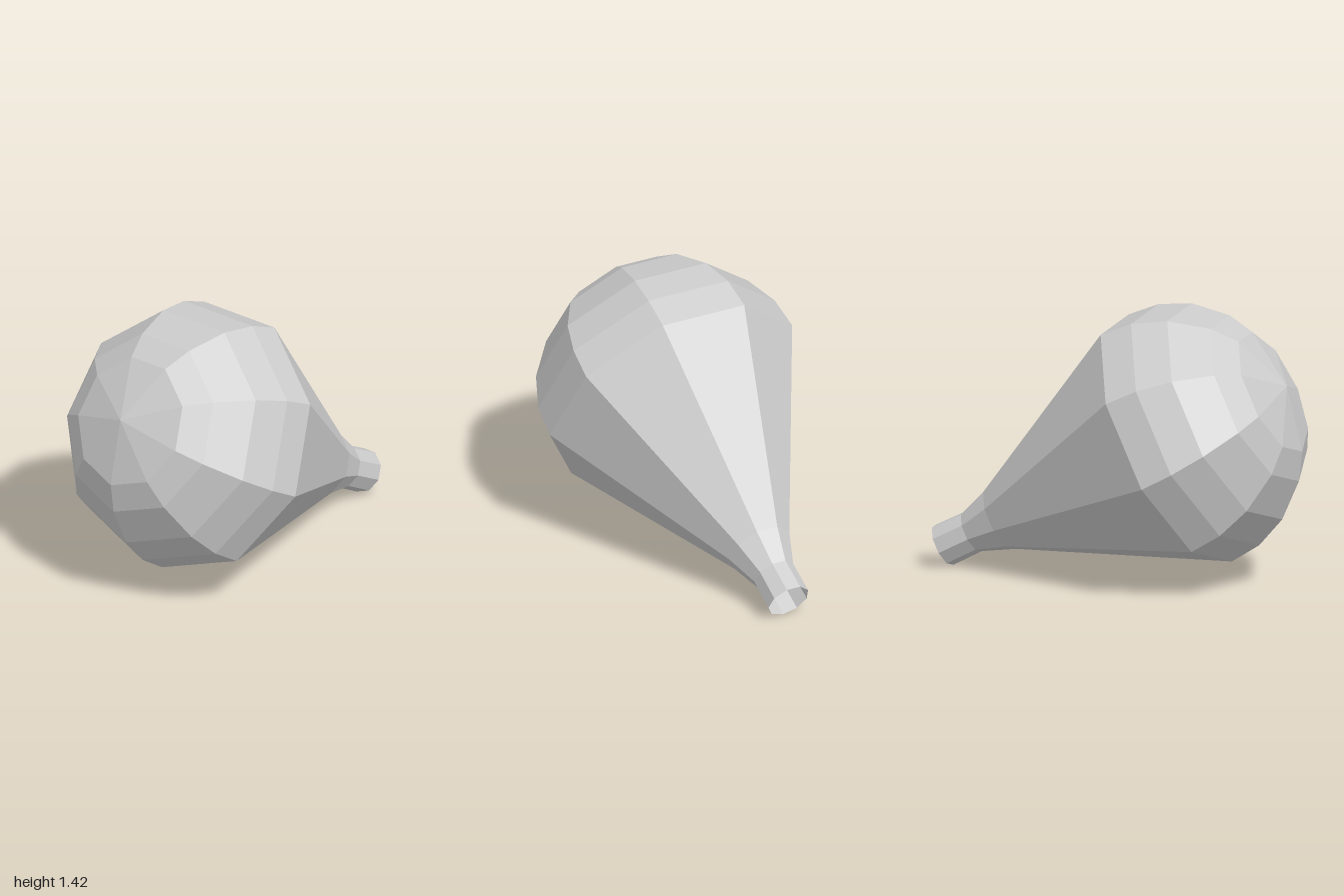
import * as THREE from 'three';

const SIDES = 9;

// Radius and distance along the axis, from the open neck to the rounded tip
const PROFILE = [
  [0.115, 0], [0.113, 0.175], [0.176, 0.35],        // neck and its flare
  [0.703, 1.39], [0.686, 1.565], [0.615, 1.742],    // long cone into the wide bulb
  [0.472, 1.919], [0.34, 2.008], [0, 2.093],        // domed end
];

export function createModel() {
  const group = new THREE.Group();
  group.name = 'bulb';

  // Nine-sided faceted shell, open at the neck
  const points = PROFILE.map(([r, s]) => new THREE.Vector2(r, s));
  const geometry = new THREE.LatheGeometry(points, SIDES);
  geometry.rotateY(THREE.MathUtils.degToRad(1.2));

  // Lean the axis up and forward, with one corner of the shell pointing down
  const axis = new THREE.Vector3(0.062, 0.459, 0.886).normalize();
  const down = new THREE.Vector3(0, -1, 0);
  down.addScaledVector(axis, -down.dot(axis)).normalize();
  const side = new THREE.Vector3().crossVectors(axis, down);
  geometry.applyMatrix4(new THREE.Matrix4().makeBasis(side, axis, down));
  geometry.translate(-0.09, 0.103, -0.935);

  const material = new THREE.MeshStandardMaterial({
    color: 0xcccccc, flatShading: true, side: THREE.DoubleSide,
  });
  const shell = new THREE.Mesh(geometry, material);
  shell.name = 'bulbShell';
  group.add(shell);
  return group;
}
